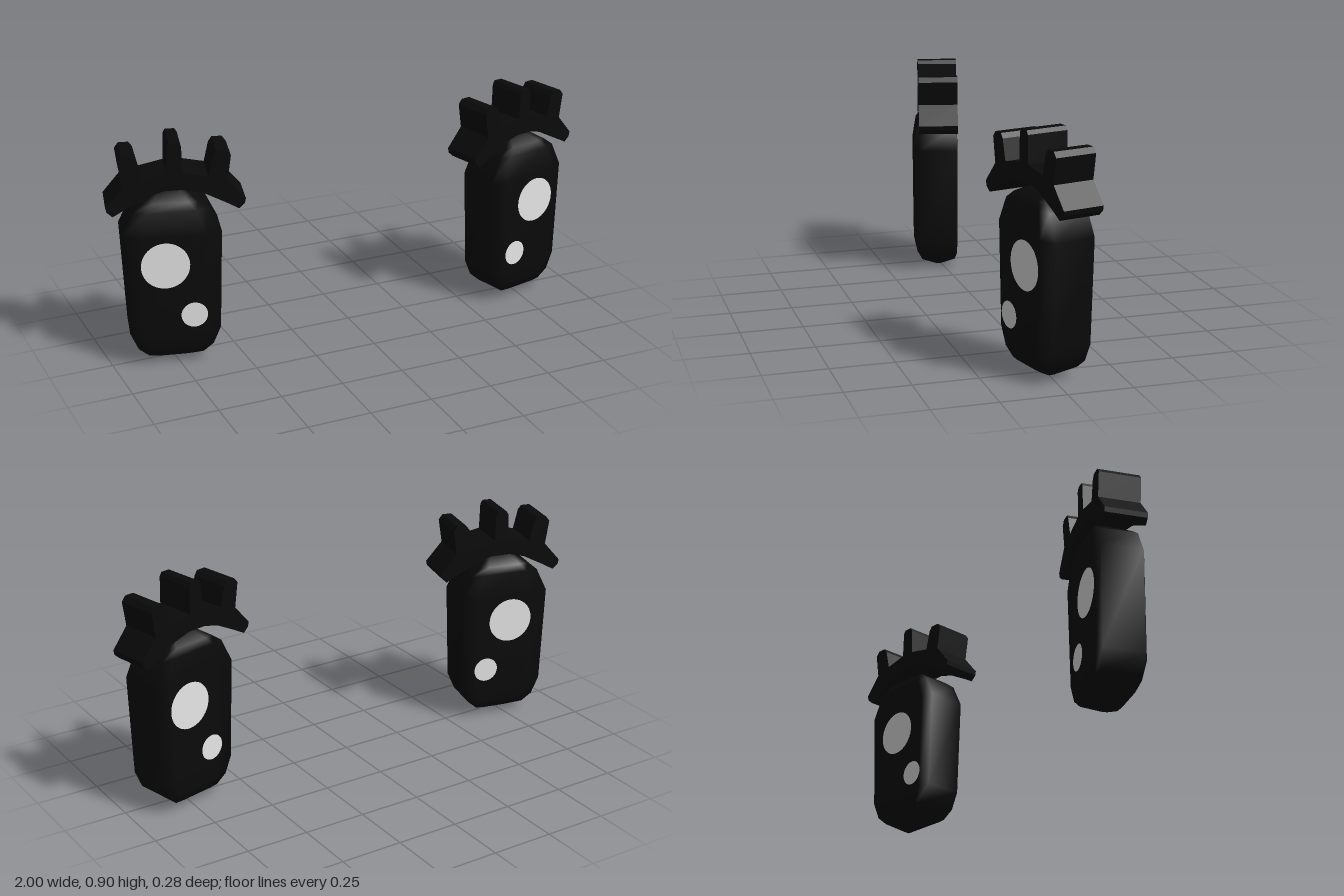
import * as THREE from 'three';

const black = new THREE.MeshStandardMaterial({ color: 0x0a0a0a });
black.name = 'black';
const white = new THREE.MeshStandardMaterial({ color: 0xf4f4f4 });
white.name = 'white';

// Flat, rounded slab lofted from horizontal sections: [y, half width, half depth, front bulge]
function eyeGeometry() {
  const rows = [
    [0, 0.05, 0.012, 0], [0.035, 0.105, 0.074, 0.002], [0.07, 0.145, 0.082, 0.01], [0.14, 0.175, 0.084, 0.022],
    [0.54, 0.19, 0.085, 0.022], [0.635, 0.145, 0.082, 0.01], [0.665, 0.105, 0.073, 0.002], [0.695, 0.06, 0.012, 0],
  ];
  const pos = [], index = [], n = 8;
  for (const [y, w, d, bulge] of rows) {
    const m = w * 0.66;
    const ring = [[-m, d + bulge], [m, d + bulge], [w, d * 0.96], [w, -d * 0.96],
      [m, -d], [-m, -d], [-w, -d * 0.96], [-w, d * 0.96]];
    for (const [x, z] of ring) pos.push(x, y, z);
  }
  for (let i = 0; i < rows.length - 1; i++) {
    for (let j = 0; j < n; j++) {
      const a = i * n + j, b = i * n + (j + 1) % n;
      index.push(a, b, b + n, a, b + n, a + n);
    }
  }
  // Bottom and top caps
  const top = (rows.length - 1) * n;
  for (let j = 1; j < n - 1; j++) {
    index.push(0, j + 1, j);
    index.push(top, top + j, top + j + 1);
  }
  const g = new THREE.BufferGeometry();
  g.setAttribute('position', new THREE.Float32BufferAttribute(pos, 3));
  g.setIndex(index);
  g.computeVertexNormals();
  return g;
}

// Arched lid with three lashes: half an outline, mirrored and extruded
function lashGeometry() {
  const half = [
    [0.018, 0.905], [0.027, 0.89], [0.03, 0.785], [0.125, 0.765], [0.144, 0.845], [0.157, 0.863],
    [0.195, 0.863], [0.211, 0.843], [0.196, 0.745], [0.263, 0.667], [0.259, 0.648],
    [0.237, 0.628], [0.19, 0.655], [0.105, 0.7], [0.04, 0.718],
  ];
  const outline = [...half, ...half.map(([x, y]) => [-x, y]).reverse()];
  const shape = new THREE.Shape(outline.map(([x, y]) => new THREE.Vector2(x, y)));
  const depth = 0.164;
  const g = new THREE.ExtrudeGeometry(shape, { depth, bevelEnabled: false });
  g.translate(0, 0, -depth / 2);
  return g;
}

export function createModel() {
  const model = new THREE.Group();
  model.name = 'eyes';
  const eyeGeo = eyeGeometry(), lashGeo = lashGeometry();

  for (const side of [1, -1]) {
    const eye = new THREE.Group();
    eye.name = side > 0 ? 'leftEye' : 'rightEye';
    eye.position.x = side * 0.745;
    eye.rotation.y = side * 0.24;
    model.add(eye);

    const add = (name, geometry, material, x = 0, y = 0, z = 0) => {
      const mesh = new THREE.Mesh(geometry, material);
      mesh.name = name;
      mesh.position.set(x, y, z);
      eye.add(mesh);
      return mesh;
    };
    add('eyeball', eyeGeo, black);
    add('eyelashes', lashGeo, black, -side * 0.021);

    // Round highlights on the front and the back
    for (const [name, x, y, r] of [['largeHighlight', 0.03, 0.425, 0.093], ['smallHighlight', -0.073, 0.213, 0.051]]) {
      const disc = new THREE.CircleGeometry(r, 40);
      add(name + 'Front', disc, white, side * x, y, 0.109);
      add(name + 'Back', disc, white, side * x, y, -0.087).rotation.y = Math.PI;
    }
  }
  return model;
}
